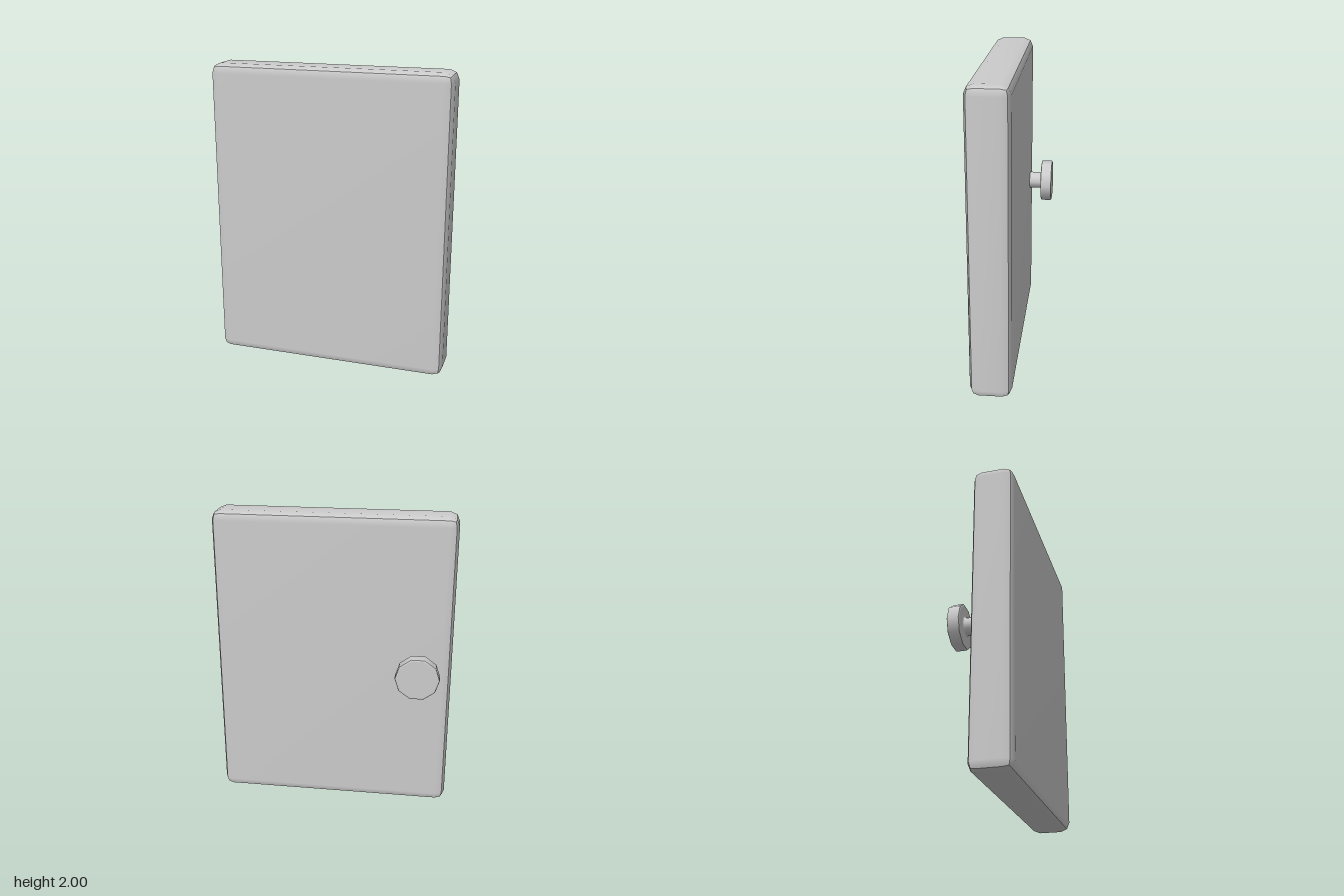
import * as THREE from 'three';
import { mergeGeometries } from 'three/addons/utils/BufferGeometryUtils.js';

const grey = new THREE.MeshStandardMaterial({ color: 0xcccccc });

// Box with two-step rounded edges; each side keeps its own normals, so the
// middle of every rounded edge stays a crisp seam.
function bevelledBox(width, height, depth, radius) {
  const geometry = new THREE.BoxGeometry(1, 1, 1, 3, 3, 3);
  const position = geometry.attributes.position;
  const inner = new THREE.Vector3(width / 2 - radius, height / 2 - radius, depth / 2 - radius);
  const p = new THREE.Vector3();
  for (let i = 0; i < position.count; i++) {
    p.fromBufferAttribute(position, i);
    const sign = new THREE.Vector3(Math.sign(p.x), Math.sign(p.y), Math.sign(p.z));
    const outward = p.addScaledVector(sign, -1 / 6).normalize();
    const corner = sign.multiply(inner).addScaledVector(outward, radius);
    position.setXYZ(i, corner.x, corner.y, corner.z);
  }
  geometry.computeVertexNormals();
  return geometry;
}

// Ten-sided turned knob along -z, in strips that meet at crisp seams
function knobGeometry() {
  const strips = [
    // stem, flare and underside of the head
    [[0.058, 0.04], [0.058, 0.127], [0.061, 0.134], [0.068, 0.137],
      [0.13, 0.137], [0.135, 0.137], [0.142, 0.14]],
    // rim
    [[0.142, 0.14], [0.145, 0.147], [0.145, 0.205], [0.142, 0.212]],
    // face
    [[0.142, 0.212], [0.135, 0.215], [0.13, 0.215], [0, 0.215]],
  ];
  const parts = strips.map((points) => new THREE.LatheGeometry(
    points.map(([r, d]) => new THREE.Vector2(r, d)), 10, Math.PI / 2));
  return mergeGeometries(parts).rotateX(-Math.PI / 2);
}

export function createModel() {
  const model = new THREE.Group();
  model.name = 'cabinetDoor';

  const panel = new THREE.Mesh(bevelledBox(1.57, 2, 0.269, 0.06), grey);
  panel.name = 'doorPanel';
  panel.position.set(0, 1, 0.0805);

  const knob = new THREE.Mesh(knobGeometry(), grey);
  knob.name = 'knob';
  knob.position.set(-0.57, 0.99, 0);

  model.add(panel, knob);
  return model;
}
